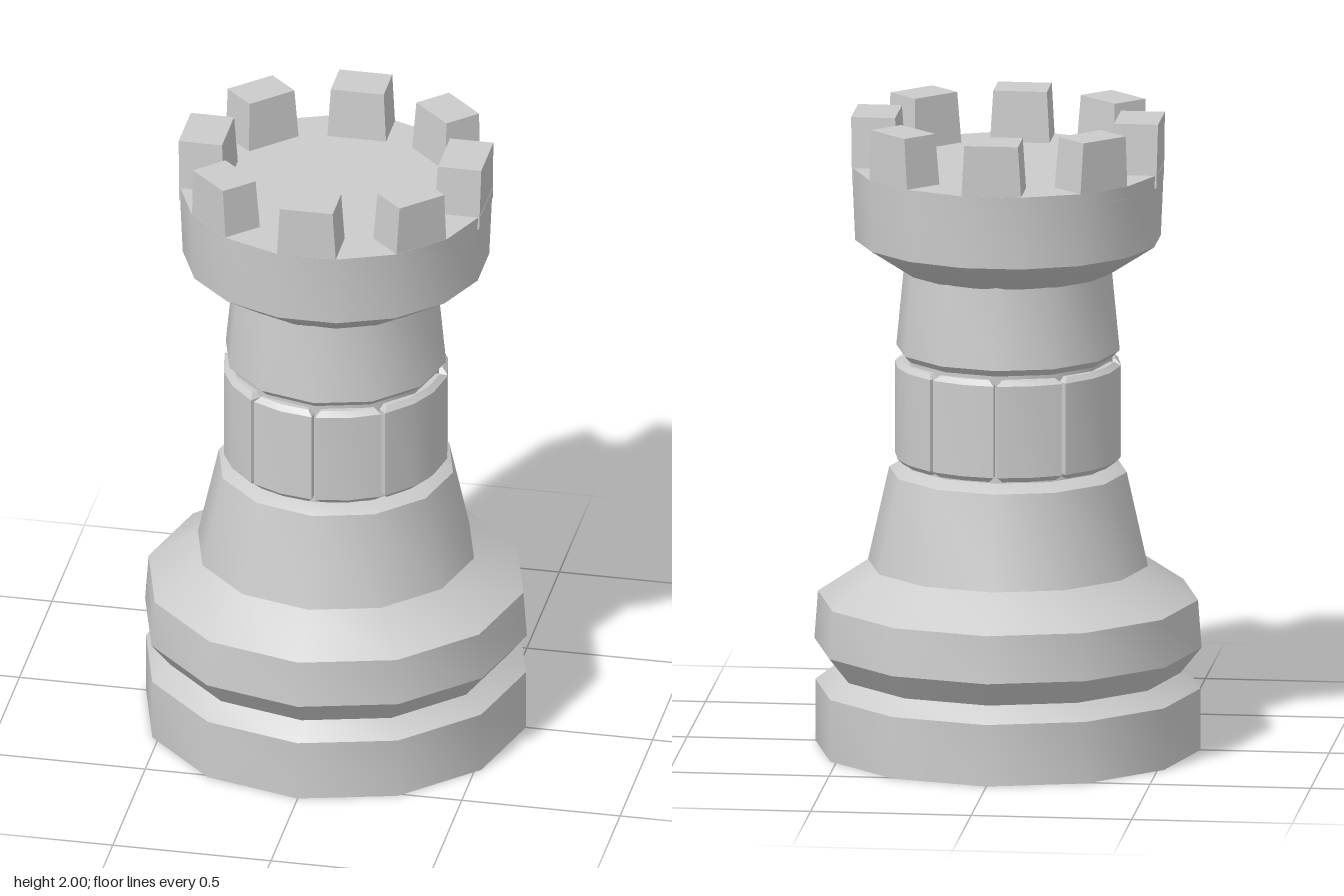
import * as THREE from 'three';
import { toCreasedNormals } from 'three/addons/utils/BufferGeometryUtils.js';

const material = new THREE.MeshStandardMaterial({ color: 0xcccccc });

function addMesh(parent, name, geometry, crease = 0.6) {
  const mesh = new THREE.Mesh(toCreasedNormals(geometry, crease), material);
  mesh.name = name;
  parent.add(mesh);
  return mesh;
}

// Closed faceted turning from [radius, height] pairs, bottom to top
function turned(profile, sides, start = 0) {
  const first = profile[0], last = profile[profile.length - 1];
  const points = [[0, first[1]], ...profile, [0, last[1]]].map(([r, y]) => new THREE.Vector2(r, y));
  return new THREE.LatheGeometry(points, sides, start);
}

// Curved stone with chamfered edges between two angles measured from +z towards +x
function stoneGeometry(a0, a1, faces) {
  const bevel = 0.016, inner = 0.27, outer = 0.35 - bevel, gap = 0.02 / outer;
  const polar = (r, a) => new THREE.Vector2(r * Math.sin(a), -r * Math.cos(a));
  const points = [];
  for (let i = 0; i <= faces; i++) {
    points.push(polar(outer, a0 + gap + ((a1 - a0 - 2 * gap) * i) / faces));
  }
  points.push(polar(inner, a1 - gap), polar(inner, a0 + gap));
  const geometry = new THREE.ExtrudeGeometry(new THREE.Shape(points), {
    depth: 0.322 - 2 * bevel, bevelEnabled: true, bevelSegments: 1,
    bevelSize: bevel, bevelThickness: bevel,
  });
  return geometry.rotateX(-Math.PI / 2).translate(0, 0.907 + bevel, 0);
}

// Battlement block, narrower at the top, outer face at +z
function merlonGeometry(width, depth) {
  const geometry = new THREE.BoxGeometry(width, 0.2, depth);
  const p = geometry.attributes.position;
  for (let i = 0; i < p.count; i++) {
    if (p.getY(i) < 0) continue;
    p.setX(i, p.getX(i) * 0.88);
    p.setZ(i, p.getZ(i) + (p.getZ(i) < 0 ? 0.012 : 0.004));
  }
  return geometry.translate(0, 1.9, 0.474 - depth / 2);
}

export function createModel() {
  const model = new THREE.Group();
  model.name = 'chessRook';

  // Lower body: foot, groove, rounded collar and flared skirt
  const body = new THREE.Group();
  body.name = 'body';
  body.scale.z = 0.985;
  model.add(body);
  addMesh(body, 'foot', turned([[0.6, 0], [0.6, 0.195], [0.535, 0.245]], 12));
  addMesh(body, 'collar', turned([[0.535, 0.24], [0.603, 0.325], [0.592, 0.475], [0.435, 0.58]], 12));
  addMesh(body, 'skirt', turned([[0.437, 0.575], [0.37, 0.875], [0.325, 0.9]], 12));

  // Ring of stones around a core
  addMesh(body, 'stoneCore', turned([[0.325, 0.89], [0.325, 1.25]], 12));
  const joints = [0, 36, 90, 144, 180, 216, 270, 324, 360].map(THREE.MathUtils.degToRad);
  for (let i = 0; i < 8; i++) {
    const wide = joints[i + 1] - joints[i] > 0.8;
    addMesh(body, 'stone', stoneGeometry(joints[i], joints[i + 1], wide ? 3 : 2));
  }

  addMesh(body, 'neck', turned([[0.32, 1.235], [0.348, 1.262], [0.322, 1.53]], 12));

  // Head with eight battlements
  const head = new THREE.Group();
  head.name = 'head';
  head.scale.z = 0.96;
  model.add(head);
  addMesh(head, 'crown', turned([[0.33, 1.515], [0.475, 1.61], [0.485, 1.84]], 16, Math.PI / 16));
  for (let i = 0; i < 8; i++) {
    const width = i % 2 ? 0.19 : i % 4 ? 0.22 : 0.19;
    const merlon = addMesh(head, 'merlon', merlonGeometry(width, i % 2 ? 0.13 : 0.145), 0.3);
    merlon.rotation.y = (i * Math.PI) / 4;
  }

  return model;
}
